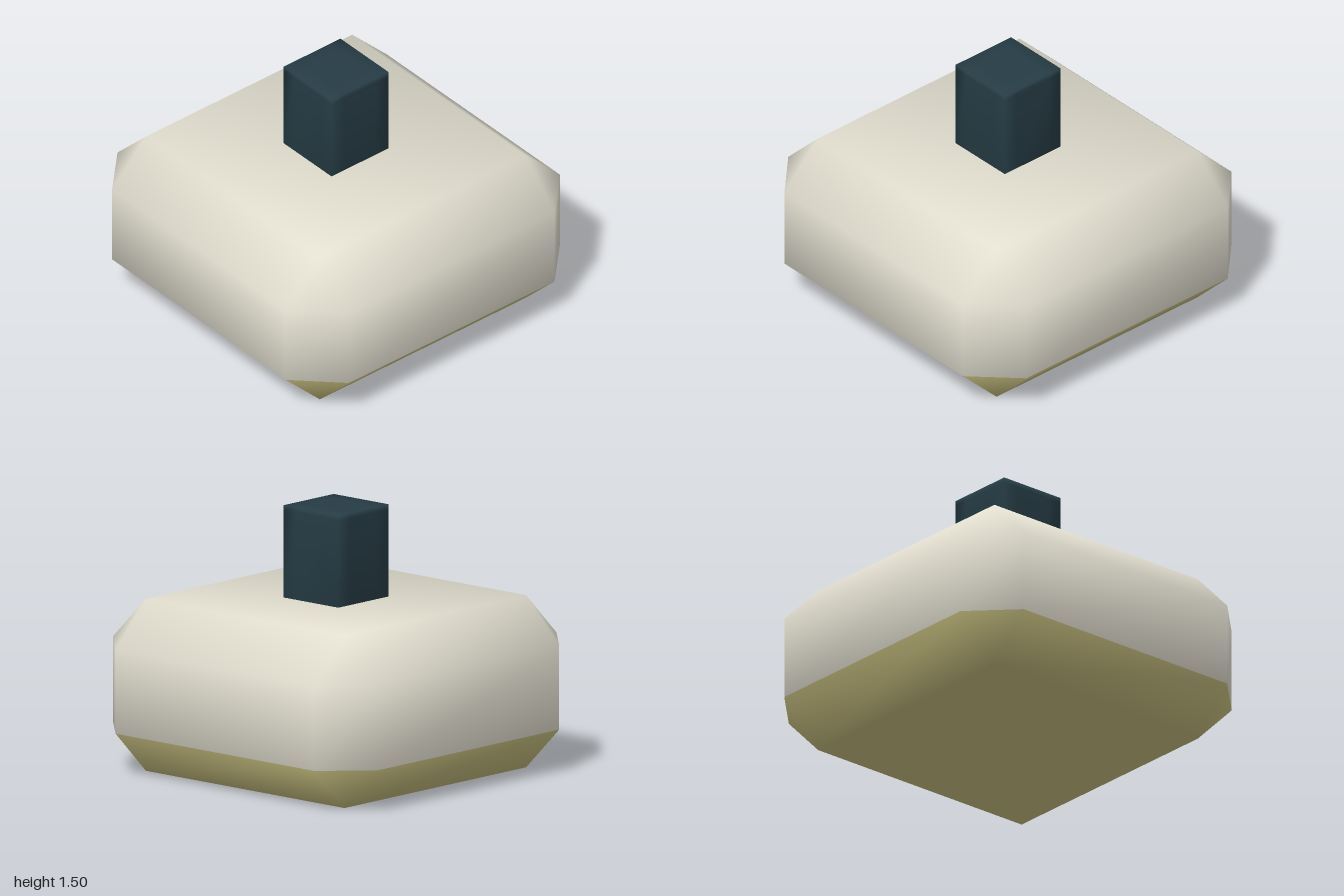
import * as THREE from 'three';
import { mergeVertices } from 'three/addons/utils/BufferGeometryUtils.js';

const mat = (name, color) => new THREE.MeshStandardMaterial({ name, color });

// Box with wide chamfers, built from four eight-point rings; the lowest band is a second colour
function chamferedBody(half, height, bevel) {
  const inner = half - bevel;
  const levels = [[0, inner], [bevel, half], [height - bevel, half], [height, inner]];
  const corners = [[1, 1], [-1, 1], [-1, -1], [1, -1]];
  const positions = [], normals = [], lower = [], upper = [];

  levels.forEach(([y, reach], level) => {
    const cap = level === 0 || level === 3;
    const sy = level < 2 ? -1 : 1;
    corners.forEach(([sx, sz], c) => {
      // Each corner has an x-side point and a z-side point; they coincide on the caps
      const order = c % 2 === 0 ? ['x', 'z'] : ['z', 'x'];
      for (const axis of order) {
        positions.push(sx * (axis === 'x' ? reach : inner), y, sz * (axis === 'z' ? reach : inner));
        // Soft normal: mostly along the face, leaning towards the neighbouring chamfers
        const n = new THREE.Vector3(
          sx * (!cap && axis === 'x' ? 1 : 0.39),
          sy * (cap ? 1 : 0.39),
          sz * (!cap && axis === 'z' ? 1 : 0.39)
        ).normalize();
        normals.push(n.x, n.y, n.z);
      }
    });
  });

  for (let level = 0; level < 3; level++) {
    const target = level === 0 ? lower : upper;
    for (let i = 0; i < 8; i++) {
      const a = level * 8 + i, b = level * 8 + (i + 1) % 8;
      target.push(b, a, a + 8, b, a + 8, b + 8);
    }
  }
  for (let i = 1; i < 7; i++) {
    lower.push(0, i, i + 1);
    upper.push(24, 24 + i + 1, 24 + i);
  }

  const geo = new THREE.BufferGeometry();
  geo.setAttribute('position', new THREE.Float32BufferAttribute(positions, 3));
  geo.setAttribute('normal', new THREE.Float32BufferAttribute(normals, 3));
  geo.setIndex([...lower, ...upper]);
  geo.addGroup(0, lower.length, 0);
  geo.addGroup(lower.length, upper.length, 1);
  return geo;
}

// Square post with soft shading near its edges and a tight loop under its top
function softPost(width, bottom, top) {
  const box = new THREE.BoxGeometry(width, 2, width, 3, 2, 3);
  box.deleteAttribute('normal');
  box.deleteAttribute('uv');
  const geo = mergeVertices(box);
  const p = geo.attributes.position;
  const spread = (v) => (Math.abs(v) < width * 0.4 ? Math.sign(v) * width * 0.28 : v);
  for (let i = 0; i < p.count; i++) {
    const y = p.getY(i);
    p.setXYZ(i, spread(p.getX(i)), y > 0.5 ? top : y < -0.5 ? bottom : top - 0.03, spread(p.getZ(i)));
  }
  geo.computeVertexNormals();
  return geo;
}

export function createModel() {
  const cream = mat('cream', 0xe2dfd0);
  const olive = mat('olive yellow', 0xc6be7e);
  const slate = mat('dark slate', 0x263c45);

  const model = new THREE.Group();
  model.name = 'model';

  const body = new THREE.Mesh(chamferedBody(1, 0.98, 0.25), [olive, cream]);
  body.name = 'body';

  const post = new THREE.Mesh(softPost(0.415, 0.95, 1.505), slate);
  post.name = 'post';

  model.add(body, post);
  return model;
}
